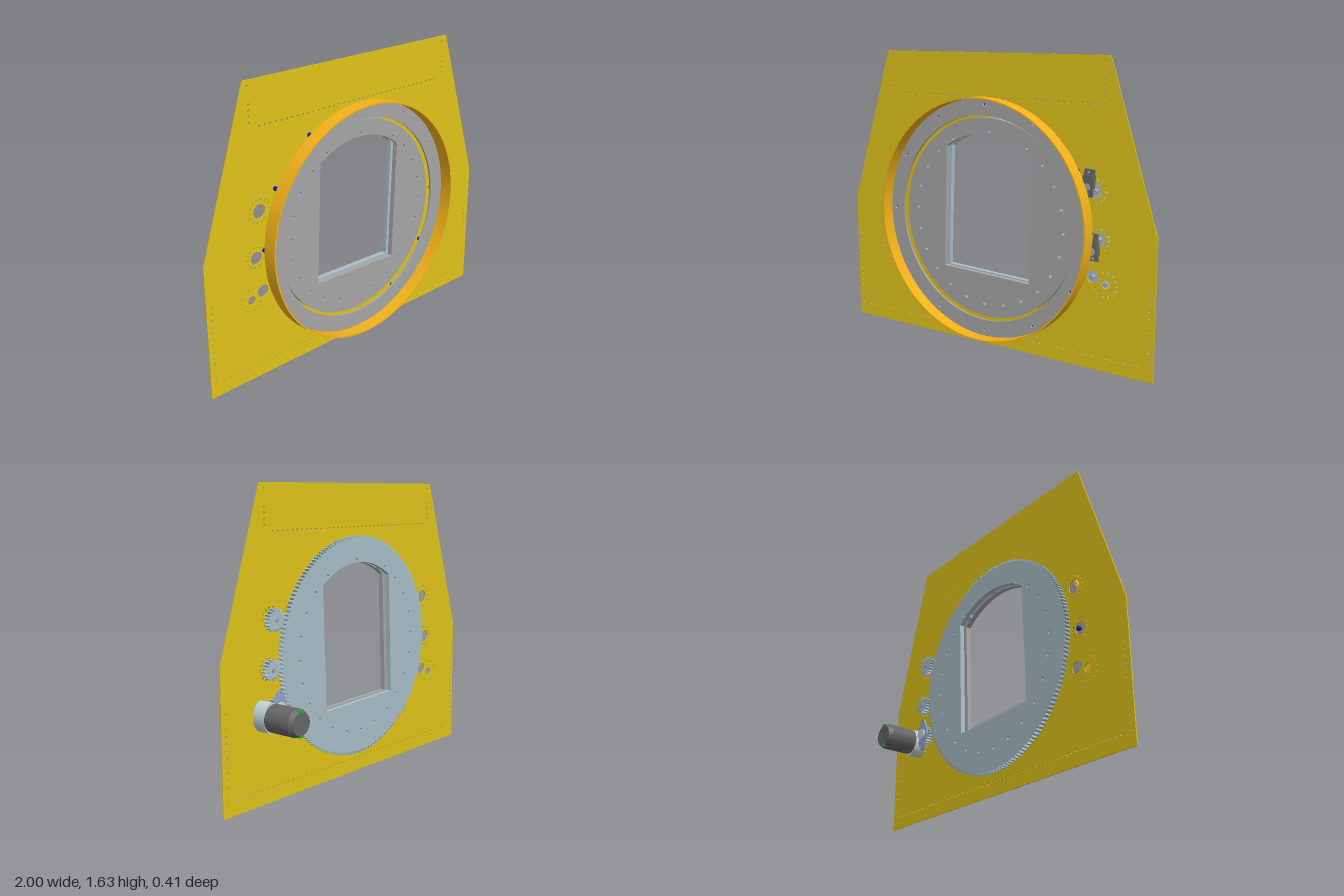
import * as THREE from 'three';

const CY = 0.73;               // height of the turntable axis
const TILT = -2 * Math.PI / 180; // the turntable is turned slightly
const mat = (color) => new THREE.MeshStandardMaterial({ color, side: THREE.DoubleSide });
const M = {
  plate: mat(0xe0c41a), hoop: mat(0xf2b11a), grey: mat(0xa6a6a6), gear: mat(0xa9bfc9),
  blue: mat(0x1414d0), motor: mat(0x666666), box: mat(0xc4d4dc), flange: mat(0x8fa6c4), green: mat(0x20b030),
};

// Points on a circle or arc
function arc(x, y, r, n, a0 = 0, a1 = Math.PI * 2) {
  return Array.from({ length: n }, (_, i) => {
    const a = a0 + (a1 - a0) * i / n;
    return new THREE.Vector2(x + r * Math.cos(a), y + r * Math.sin(a));
  });
}
const hole = (x, y, r, n = 8) => new THREE.Path(arc(x, y, r, n));

// Toothed outline
function gearShape(r, teeth, depth) {
  const pts = [];
  for (let i = 0; i < teeth; i++) {
    [[0, r - depth], [0.3, r - depth], [0.45, r], [0.8, r]].forEach(([f, rad]) => {
      const a = (i + f) / teeth * Math.PI * 2;
      pts.push(new THREE.Vector2(rad * Math.cos(a), rad * Math.sin(a)));
    });
  }
  return new THREE.Shape(pts);
}

// Window: straight sides and floor, arched top
function windowPath() {
  const w = 0.285, a = Math.acos(w / 0.47);
  return new THREE.Path([
    new THREE.Vector2(-w, -0.315), new THREE.Vector2(w, -0.315),
    ...arc(0, 0, 0.47, 24, a, Math.PI - a),
    new THREE.Vector2(-w, 0.47 * Math.sin(a)),
  ]);
}

export function createModel() {
  const root = new THREE.Group();
  const add = (name, geo, material, x = 0, y = 0, z = 0, parent = root) => {
    const m = new THREE.Mesh(geo, material);
    m.name = name;
    m.position.set(x, y, z);
    parent.add(m);
    return m;
  };
  const slab = (shape, z0, z1) => new THREE.ExtrudeGeometry(shape, { depth: z1 - z0, bevelEnabled: false, curveSegments: 24 }).translate(0, 0, z0);
  const rod = (r, z0, z1, n = 16, r2 = r) => new THREE.CylinderGeometry(r, r2, z1 - z0, n).rotateX(Math.PI / 2).translate(0, 0, (z0 + z1) / 2);

  // Base plate with its hole patterns; overlapping holes are skipped
  const plate = new THREE.Shape([[-1, 0], [1, 0], [1, 0.75], [0.72, 1.63], [-0.72, 1.63], [-1, 0.75]].map(p => new THREE.Vector2(...p)));
  const used = [];
  const drill = (x, y, r, n = 6) => {
    if (used.some(h => Math.hypot(h.x - x, h.y - y) < h.r + r + 0.001)) return;
    used.push({ x, y, r });
    plate.holes.push(hole(x, y, r, n));
  };
  drill(0, CY, 0.53, 96);
  const ports = [[0.65, 0.95, 0.038, 0.062], [0.68, 0.7, 0.035, 0.055], [0.645, 0.5, 0.034, 0], [0.72, 0.47, 0.024, 0.065]];
  for (const s of [1, -1]) {
    ports.forEach(([x, y, r]) => drill(s * x, y, r, 24));
    ports.forEach(([x, y, , ring]) => {
      if (ring) arc(s * x, y, ring, 14).forEach(p => drill(p.x, p.y, 0.007));
    });
    for (let i = 0; i < 13; i++) drill(s * 0.97, 0.08 + i * 0.0367, 0.007);
    [1.42, 1.45, 1.48, 1.51, 1.6].forEach(y => drill(s * 0.69, y, 0.007));
  }
  for (let i = 0; i < 51; i++) drill(-0.91 + i * 0.0364, 0.075, 0.007);
  for (let i = 0; i < 37; i++) drill(-0.63 + i * 0.035, 1.39, 0.007);
  add('basePlate', slab(plate, 0.063, 0.069), M.plate);

  // Fixed front ring: flat flange, hoop and standoffs
  const flange = new THREE.Shape(arc(0, 0, 0.663, 96));
  flange.holes.push(hole(0, 0, 0.57, 96));
  const studs = arc(0, 0, 0.63, 12);
  studs.forEach(p => flange.holes.push(hole(p.x, p.y, 0.009)));
  add('ringFlange', slab(flange, 0.118, 0.13), M.grey, 0, CY);
  const hoop = [[0.662, 0.125], [0.67, 0.125], [0.67, 0.205], [0.662, 0.205], [0.662, 0.125]];
  hoop.slice(1).forEach((p, i) => {
    const pts = [hoop[i], p].map(q => new THREE.Vector2(...q));
    add('ringHoop', new THREE.LatheGeometry(pts, 96).rotateX(Math.PI / 2), M.hoop, 0, CY);
  });
  studs.forEach(p => add('standoff', rod(0.012, 0.069, 0.112, 12), M.blue, p.x, CY + p.y));

  // Turntable: front disc, spacers and rear ring gear
  const table = new THREE.Group();
  table.name = 'turntable';
  table.position.y = CY;
  table.rotation.z = TILT;
  root.add(table);
  const bolts = arc(0, 0, 0.485, 24).filter((p, i) => i !== 5 && i !== 7);
  const disc = new THREE.Shape(arc(0, 0, 0.557, 96));
  const gear = gearShape(0.615, 168, 0.014);
  for (const s of [disc, gear]) {
    s.holes.push(windowPath());
    bolts.forEach(p => s.holes.push(hole(p.x, p.y, 0.01)));
  }
  add('turntableDisc', slab(disc, 0.076, 0.105), M.grey, 0, 0, 0, table);
  add('ringGear', slab(gear, 0.03, 0.058), M.gear, 0, 0, 0, table);
  const spacer = new THREE.Shape(arc(0, 0, 0.018, 14));
  spacer.holes.push(hole(0, 0, 0.01));
  bolts.forEach(p => add('spacer', slab(spacer, 0.058, 0.076), M.gear, p.x, p.y, 0, table));

  // Pinions on the gear's edge, with hubs passing through the plate
  const pinions = [[0.65, 0.95, 0.06, 18], [0.678, 0.7, 0.053, 16], [0.645, 0.5, 0.052, 16]];
  pinions.forEach(([x, y, r, teeth]) => {
    const s = gearShape(r, teeth, 0.014);
    s.holes.push(hole(0, 0, 0.012, 12));
    add('pinion', slab(s, 0.026, 0.058), M.gear, x, y);
    add('pinionShaft', rod(0.012, 0.02, 0.085), M.grey, x, y);
  });

  // Sensor housings on the front of the plate
  [[0.622, 0.992, -0.08], [0.655, 0.662, 0.03]].forEach(([x, y, rot]) => {
    const g = new THREE.Group();
    g.name = 'sensorHousing';
    g.position.set(x, y, 0);
    g.rotation.z = rot;
    root.add(g);
    add('housingBody', new THREE.BoxGeometry(0.056, 0.085, 0.036), M.motor, 0, 0, 0.089, g);
    add('housingFoot', new THREE.BoxGeometry(0.056, 0.142, 0.014), M.motor, 0, 0, 0.089, g);
    add('housingHub', rod(0.02, 0.1, 0.112), M.grey, 0, -0.02, 0, g);
    for (const s of [1, -1]) add('housingScrew', rod(0.008, 0.069, 0.1, 8), M.grey, 0, s * 0.057, 0, g);
  });

  // Drive: bearing flange, gearbox and motor
  const lug = new THREE.Shape([
    ...arc(0, 0.075, 0.022, 8, 0.35, Math.PI - 0.35), ...arc(0, 0, 0.05, 8, Math.PI - 0.35, Math.PI + 0.35),
    ...arc(0, -0.075, 0.022, 8, Math.PI + 0.35, Math.PI * 2 - 0.35), ...arc(0, 0, 0.05, 8, -0.35, 0.35),
  ]);
  lug.holes.push(hole(0, 0.075, 0.008), hole(0, -0.075, 0.008));
  add('bearingFlange', slab(lug, 0.012, 0.022), M.flange, 0.645, 0.5);
  add('bearingCap', rod(0.032, 0.002, 0.024, 24), M.box, 0.645, 0.5);
  const box = add('gearbox', rod(0.08, -0.015, 0.062, 32), M.box, 0.735, 0.47);
  box.scale.x = 0.72;
  add('motorNeck', rod(0.045, -0.03, -0.01, 24), M.box, 0.725, 0.47);
  add('motorBody', rod(0.073, -0.18, -0.022, 32), M.motor, 0.725, 0.47);
  add('motorEnd', rod(0.073, -0.205, -0.18, 32, 0.06), M.motor, 0.725, 0.47);
  add('motorShaft', rod(0.012, 0.06, 0.078), M.grey, 0.72, 0.47);
  for (const s of [1, -1]) add('motorTerminal', new THREE.BoxGeometry(0.025, 0.014, 0.016), M.green, 0.725, 0.47 + s * 0.062, -0.198);

  return root;
}
